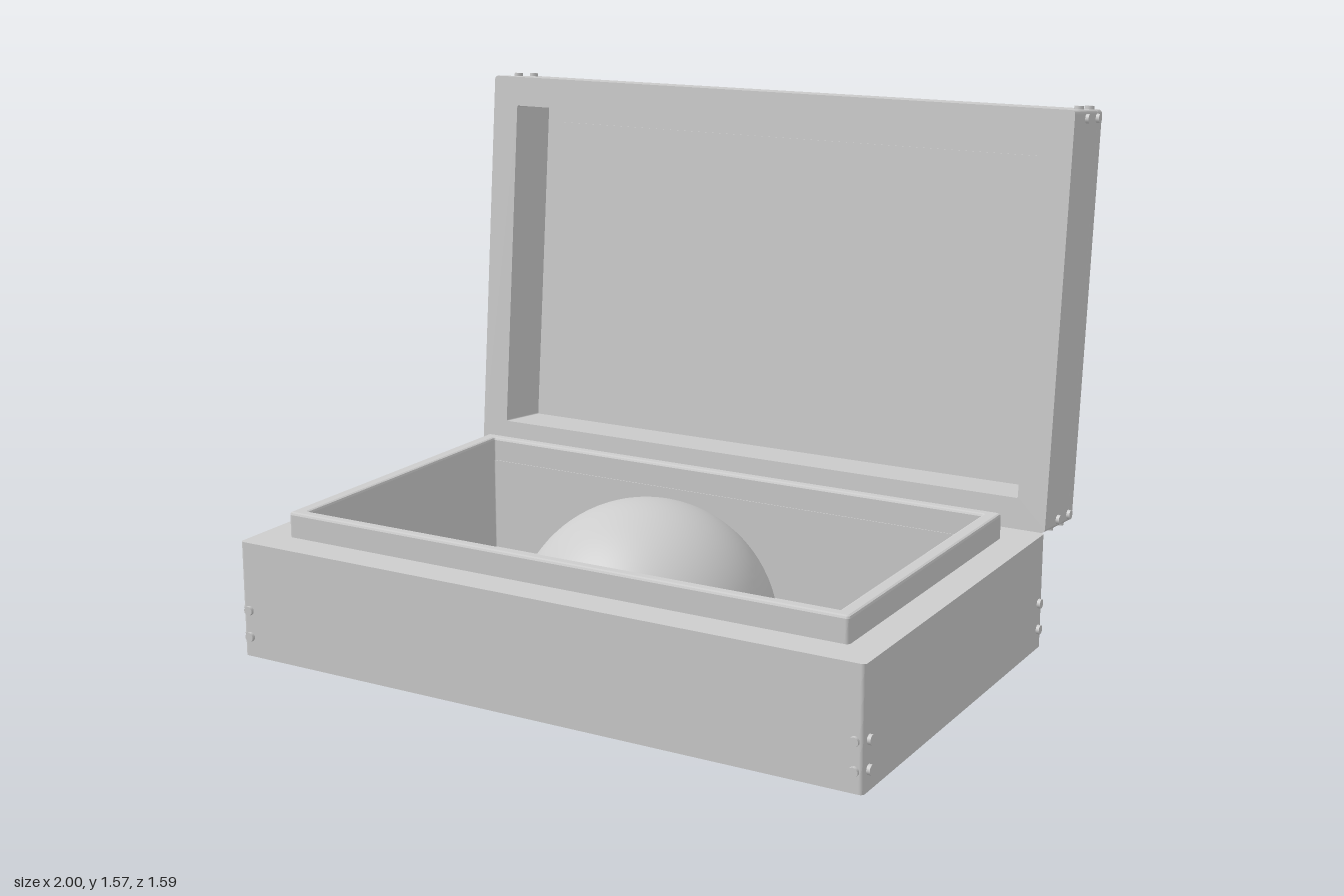
import * as THREE from 'three';

const grey = new THREE.MeshStandardMaterial({ color: 0xcccccc });
grey.name = 'plain grey';

function add(parent, name, geometry, x = 0, y = 0, z = 0) {
  const mesh = new THREE.Mesh(geometry, grey);
  mesh.name = name;
  mesh.position.set(x, y, z);
  parent.add(mesh);
  return mesh;
}

// Centred rectangle with rounded corners
function roundRect(Type, w, h, r) {
  const s = new Type();
  for (const [sx, sy, a] of [[1, 1, 0], [-1, 1, 1], [-1, -1, 2], [1, -1, 3]]) {
    s.absarc(sx * (w / 2 - r), sy * (h / 2 - r), r, a * Math.PI / 2, (a + 1) * Math.PI / 2);
  }
  s.closePath();
  return s;
}

function extrude(shape, depth, bevel = 0) {
  return new THREE.ExtrudeGeometry(shape, {
    depth: depth - 2 * bevel, bevelEnabled: bevel > 0, bevelSize: bevel,
    bevelThickness: bevel, bevelOffset: -bevel, bevelSegments: 2, curveSegments: 4,
  }).translate(0, 0, bevel);
}

// Rectangular ring, extruded from z = 0 towards +z
function frame(w, h, iw, ih, depth, r = 0.012, bevel = 0) {
  const s = roundRect(THREE.Shape, w, h, r);
  s.holes.push(roundRect(THREE.Path, iw, ih, 0.004));
  return extrude(s, depth, bevel);
}

// Closed outline given by a radius rule
function polar(radius, steps) {
  const pts = [];
  for (let i = 0; i < steps; i++) {
    const a = i / steps * Math.PI * 2;
    pts.push(new THREE.Vector2(Math.cos(a) * radius(a), Math.sin(a) * radius(a)));
  }
  return new THREE.Shape(pts);
}

// Seven petal blossom with a raised centre
function blossom(parent, x, y, r) {
  const g = new THREE.Group();
  g.name = 'blossom';
  g.position.set(x, y, 0);
  add(g, 'petals', extrude(polar(a => r * (0.86 + 0.14 * Math.cos(7 * a)), 42), 0.005), 0, 0, -0.005);
  add(g, 'blossomCentre', extrude(polar(() => r * 0.35, 12), 0.008), 0, 0, -0.008);
  parent.add(g);
}

// Tapering wavy flame, starting at radius r0 along +y
function flame(r0, length, width) {
  const left = [], right = [];
  for (let i = 0; i <= 8; i++) {
    const t = i / 8, sway = 0.012 * Math.sin(t * Math.PI * 2), half = width * (1 - t) / 2 + 0.001;
    left.push(new THREE.Vector2(sway - half, r0 + t * length));
    right.unshift(new THREE.Vector2(sway + half, r0 + t * length));
  }
  return extrude(new THREE.Shape([...left, ...right]), 0.005);
}

function makeSun() {
  const sun = new THREE.Group();
  sun.name = 'sunOrnament';
  add(sun, 'sunDisc', extrude(polar(() => 0.165, 40), 0.004), 0, 0, -0.004);
  add(sun, 'sunRim', new THREE.TorusGeometry(0.165, 0.005, 6, 40), 0, 0, -0.003);
  for (let i = 0; i < 24; i++) {
    const ray = add(sun, 'sunRay', flame(0.18, i % 2 ? 0.085 : 0.115, 0.026), 0, 0, -0.005);
    ray.rotation.z = i / 24 * Math.PI * 2;
  }
  for (let i = 0; i < 14; i++) {
    const a = i / 14 * Math.PI * 2 + Math.PI / 14;
    blossom(sun, Math.cos(a) * 0.355, Math.sin(a) * 0.355, 0.046);
  }
  // Face lines
  const line = (name, pts) => add(sun, name, new THREE.TubeGeometry(
    new THREE.CatmullRomCurve3(pts.map(([x, y]) => new THREE.Vector3(x, y, -0.004))), 12, 0.004, 5));
  for (const s of [-1, 1]) {
    line('eye', [[s * 0.035, 0.04], [s * 0.06, 0.048], [s * 0.09, 0.036]]);
    line('brow', [[s * 0.03, 0.075], [s * 0.065, 0.088], [s * 0.1, 0.07]]);
  }
  line('nose', [[0.012, 0.04], [0.015, 0], [0, -0.015], [-0.015, -0.005]]);
  line('mouth', [[-0.075, -0.055], [-0.03, -0.078], [0, -0.072], [0.03, -0.078], [0.075, -0.055]]);
  return sun;
}

// Small flat nail head lying across the given axis
function nail(parent, axis, x, y, z) {
  const m = add(parent, 'nail', new THREE.CylinderGeometry(0.014, 0.014, 0.02, 10), x, y, z);
  if (axis === 'x') m.rotation.z = Math.PI / 2;
  if (axis === 'z') m.rotation.x = Math.PI / 2;
}

function makeBase() {
  const base = new THREE.Group();
  base.name = 'base';
  const z = 0.1775;
  // Walls, floor and the lip that the lid closes over
  const flat = (name, geo, y, zz = z) => { add(base, name, geo, 0, y, zz).rotation.x = -Math.PI / 2; };
  flat('baseWalls', frame(1.98, 1.225, 1.7, 0.945, 0.345), 0);
  flat('lip', frame(1.79, 1.02, 1.7, 0.945, 0.085, 0.012, 0.008), 0.335, 0.175);
  add(base, 'floor', new THREE.BoxGeometry(1.94, 0.05, 1.18), 0, 0.025, z);
  // Domed ball resting in the box
  add(base, 'ball', new THREE.SphereGeometry(0.388, 64, 24, 0, Math.PI * 2, 0, Math.PI / 2), 0, 0.062, 0.172);
  add(base, 'ballFoot', new THREE.CylinderGeometry(0.388, 0.388, 0.014, 64, 1, true), 0, 0.055, 0.172);
  for (const s of [-1, 1]) for (const y of [0.06, 0.14]) {
    for (const zz of [-0.405, 0.76]) nail(base, 'x', s * 0.99, y, zz);
    for (const zz of [-0.435, 0.79]) nail(base, 'z', s * 0.965, y, zz);
  }
  return base;
}

function makeLid() {
  const lid = new THREE.Group();
  lid.name = 'lid';
  lid.position.set(0, 0.345, -0.435);
  lid.rotation.x = -0.09;
  const mid = 0.6125;
  add(lid, 'lidWalls', frame(1.98, 1.225, 1.8, 1.04, 0.19), 0, mid, -0.19);
  add(lid, 'lidBack', extrude(roundRect(THREE.Shape, 1.98, 1.225, 0.012), 0.045, 0.006), 0, mid, -0.235);
  add(lid, 'innerPanel', new THREE.BoxGeometry(1.7, 0.935, 0.008), 0, mid, -0.188);
  // Stepped mouldings on the outside
  add(lid, 'outerMoulding', frame(1.91, 1.155, 1.85, 1.095, 0.016, 0.02), 0, mid, -0.247);
  add(lid, 'middleMoulding', frame(1.85, 1.095, 1.82, 1.065, 0.008, 0.006), 0, mid, -0.24);
  add(lid, 'innerMoulding', frame(1.82, 1.065, 1.78, 1.025, 0.014, 0.006), 0, mid, -0.245);
  // Relief ornaments
  const relief = new THREE.Group();
  relief.name = 'reliefOrnaments';
  relief.position.set(0, mid, -0.235);
  relief.add(makeSun());
  for (const sx of [-1, 1]) {
    for (const sy of [-1, 1]) {
      blossom(relief, sx * 0.715, sy * 0.34, 0.065);
      blossom(relief, sx * 0.44, sy * 0.45, 0.036);
    }
    blossom(relief, sx * 0.82, 0, 0.036);
  }
  lid.add(relief);
  for (const s of [-1, 1]) for (const d of [-0.1, -0.19]) {
    for (const y of [0.025, 1.2]) nail(lid, 'x', s * 0.99, y, d);
    for (const y of [0, 1.225]) nail(lid, 'y', s * 0.965, y, d);
  }
  return lid;
}

export function createModel() {
  const box = new THREE.Group();
  box.name = 'openBox';
  box.add(makeBase(), makeLid());
  // Hinges: one leaf on the base, one under the lid, and a pin
  for (const s of [-1, 1]) {
    const hinge = new THREE.Group();
    hinge.name = 'hinge';
    hinge.position.set(s * 0.535, 0.345, -0.437);
    add(hinge, 'baseLeaf', new THREE.BoxGeometry(0.21, 0.065, 0.012), 0, -0.033, -0.002);
    add(hinge, 'lidLeaf', new THREE.BoxGeometry(0.21, 0.01, 0.065), 0, -0.006, -0.033).rotation.x = -0.09;
    add(hinge, 'hingePin', new THREE.CylinderGeometry(0.008, 0.008, 0.21, 12)).rotation.z = Math.PI / 2;
    box.add(hinge);
  }
  return box;
}
